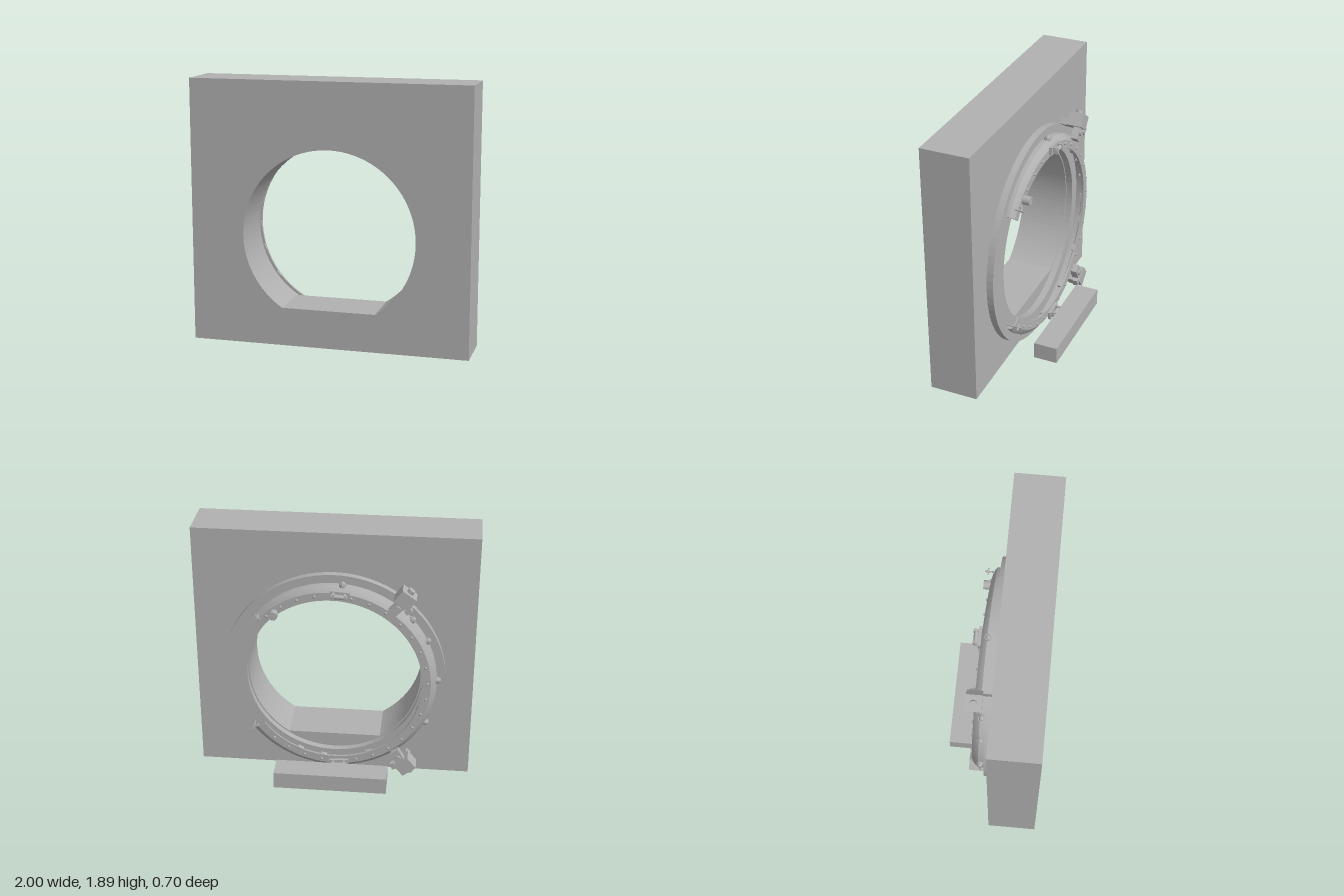
import * as THREE from 'three';
import { toCreasedNormals } from 'three/addons/utils/BufferGeometryUtils.js';

export function createModel() {
  const model = new THREE.Group();
  model.name = 'wallWithPortRing';
  const grey = new THREE.MeshStandardMaterial({ color: 0xb0b0b0, side: THREE.DoubleSide });
  grey.name = 'grey';
  const CY = 0.8; // height of the opening's centre
  const rad = THREE.MathUtils.degToRad;

  function add(name, geometry, parent = model) {
    const mesh = new THREE.Mesh(geometry, grey);
    mesh.name = name;
    parent.add(mesh);
    return mesh;
  }
  // Group on the ring: local x points outwards, local y along the ring
  function onRing(name, degrees, r, z) {
    const g = new THREE.Group();
    const a = rad(degrees);
    g.name = name;
    g.position.set(r * Math.cos(a), CY + r * Math.sin(a), z);
    g.rotation.z = a;
    model.add(g);
    return g;
  }
  function box(name, parent, size, pos, turn = 0) {
    const m = add(name, new THREE.BoxGeometry(...size), parent);
    m.position.set(...pos);
    m.rotation.z = turn;
    return m;
  }
  const alongX = (r, h, n = 12) => new THREE.CylinderGeometry(r, r, h, n).rotateZ(-Math.PI / 2);
  const alongZ = (r, h, n = 12) => new THREE.CylinderGeometry(r, r, h, n).rotateX(Math.PI / 2);

  // Thick wall with a round opening cut off flat at the bottom
  const wall = new THREE.Shape();
  wall.moveTo(-1, 0.005).lineTo(1, 0.005).lineTo(1, 1.89).lineTo(-1, 1.89).closePath();
  const opening = new THREE.Path();
  const chord = Math.asin(-0.52 / 0.62);
  opening.absarc(0, CY, 0.62, chord, Math.PI - chord, false);
  opening.closePath();
  wall.holes.push(opening);
  add('wall', new THREE.ExtrudeGeometry(wall, { depth: 0.35, bevelEnabled: false, curveSegments: 48 }));

  // Flat flange on the back of the wall
  const disc = new THREE.Shape().absarc(0, CY, 0.8, 0, Math.PI * 2);
  disc.holes.push(new THREE.Path().absarc(0, CY, 0.63, 0, Math.PI * 2));
  add('flange', new THREE.ExtrudeGeometry(disc, { depth: 0.048, bevelEnabled: false, curveSegments: 40 }))
    .position.z = -0.048;

  // Hollow raised ring, open on the left and shallower towards the gap
  const depthScale = (x) => {
    const t = (x + 0.74) / 1.29;
    return 1 - 0.1 * t - 0.32 * t * t;
  };
  const backZ = (degrees, r, d) => -0.048 - (d - 0.048) * depthScale(r * Math.cos(rad(degrees)));
  const section = [
    [0.74, 0.048], [0.74, 0.09], [0.725, 0.115], [0.7, 0.138], [0.64, 0.138],
    [0.64, 0.12], [0.69, 0.12], [0.715, 0.09], [0.715, 0.048],
  ].map(([r, d]) => new THREE.Vector2(r, d));
  const lathe = new THREE.LatheGeometry([...section, section[0].clone()], 72, rad(128), rad(284));
  lathe.rotateX(-Math.PI / 2);
  const p = lathe.attributes.position;
  for (let i = 0; i < p.count; i++) {
    p.setZ(i, -0.048 + (p.getZ(i) + 0.048) * depthScale(p.getX(i)));
  }
  add('raisedRing', toCreasedNormals(lathe, 0.35)).position.y = CY;

  // End faces of the raised ring
  for (const end of [38, -38]) {
    const cap = new THREE.ShapeGeometry(new THREE.Shape(section));
    const q = cap.attributes.position;
    for (let i = 0; i < q.count; i++) {
      const r = q.getX(i), d = q.getY(i);
      q.setXYZ(i, r * Math.cos(rad(end)), CY + r * Math.sin(rad(end)), backZ(end, r, d));
    }
    cap.computeVertexNormals();
    add('ringEnd', cap);
  }

  // Large knobs pointing out of the ring's rim
  for (const a of [95, 138, 153, 178, 206, 262]) {
    const knob = onRing('rimKnob', a, 0.742, -0.078);
    add('knobStem', alongX(0.025, 0.022), knob);
    const dome = add('knobDome', new THREE.SphereGeometry(0.019, 12, 8), knob);
    dome.position.x = 0.01;
  }

  // Small bolts on the ring's back face
  for (let a = 46; a <= 314; a += 11) {
    const bolt = onRing('faceBolt', a, 0.675, backZ(a, 0.675, 0.139));
    add('boltHead', new THREE.SphereGeometry(0.011, 10, 6), bolt);
  }

  // Two clamp blocks gripping the flange edge
  for (const a of [126, 231]) {
    const clamp = onRing('clamp', a, 0.83, -0.1);
    box('clampBody', clamp, [0.1, 0.12, 0.11], [0.025, 0, -0.03]);
    box('clampJaw', clamp, [0.13, 0.065, 0.05], [-0.055, 0, -0.045], 0.15);
    box('clampFoot', clamp, [0.05, 0.08, 0.09], [0.0, 0, 0.045]);
    box('clampLug', clamp, [0.05, 0.03, 0.04], [-0.03, 0.07, -0.06], 0.4);
    const pin = add('clampPin', alongX(0.026, 0.03), clamp);
    pin.position.set(0.085, 0, -0.03);
    const bolt = add('clampBolt', alongZ(0.022, 0.02), clamp);
    bolt.position.set(-0.06, 0, -0.075);
  }

  // Hinge brackets at the top and bottom of the ring
  for (const a of [94, 266]) {
    const bracket = onRing('bracket', a, 0.69, -0.135);
    box('bracketBase', bracket, [0.06, 0.14, 0.02], [0, 0, 0]);
    for (const s of [-1, 1]) box('bracketEar', bracket, [0.045, 0.014, 0.045], [0, s * 0.04, -0.025]);
    add('bracketPin', new THREE.CylinderGeometry(0.016, 0.016, 0.11, 12), bracket).position.z = -0.028;
  }

  // Small tabs along the inner edge
  for (const a of [82, 88, 112, 134, 150, 166, 182, 198, 218, 246, 276, 292]) {
    const tab = onRing('innerTab', a, 0.648, backZ(a, 0.648, 0.115));
    box('tabPlate', tab, [0.02, 0.045, 0.03], [0, 0, 0], 0.12);
  }

  // Stub and thin pins near the gap
  const stub = onRing('stub', 51, 0.66, -0.128);
  add('stubPost', alongZ(0.032, 0.06), stub);
  for (const a of [43, -36]) {
    const pin = onRing('gapPin', a, 0.72, -0.105);
    add('pinRod', alongZ(0.006, 0.11, 6), pin);
    box('pinCross', pin, [0.05, 0.008, 0.012], [0, 0, -0.03]);
  }

  // Step block standing behind the ring
  box('stepBlock', model, [0.82, 0.125, 0.175], [0, 0.0725, -0.2675]);

  return model;
}
